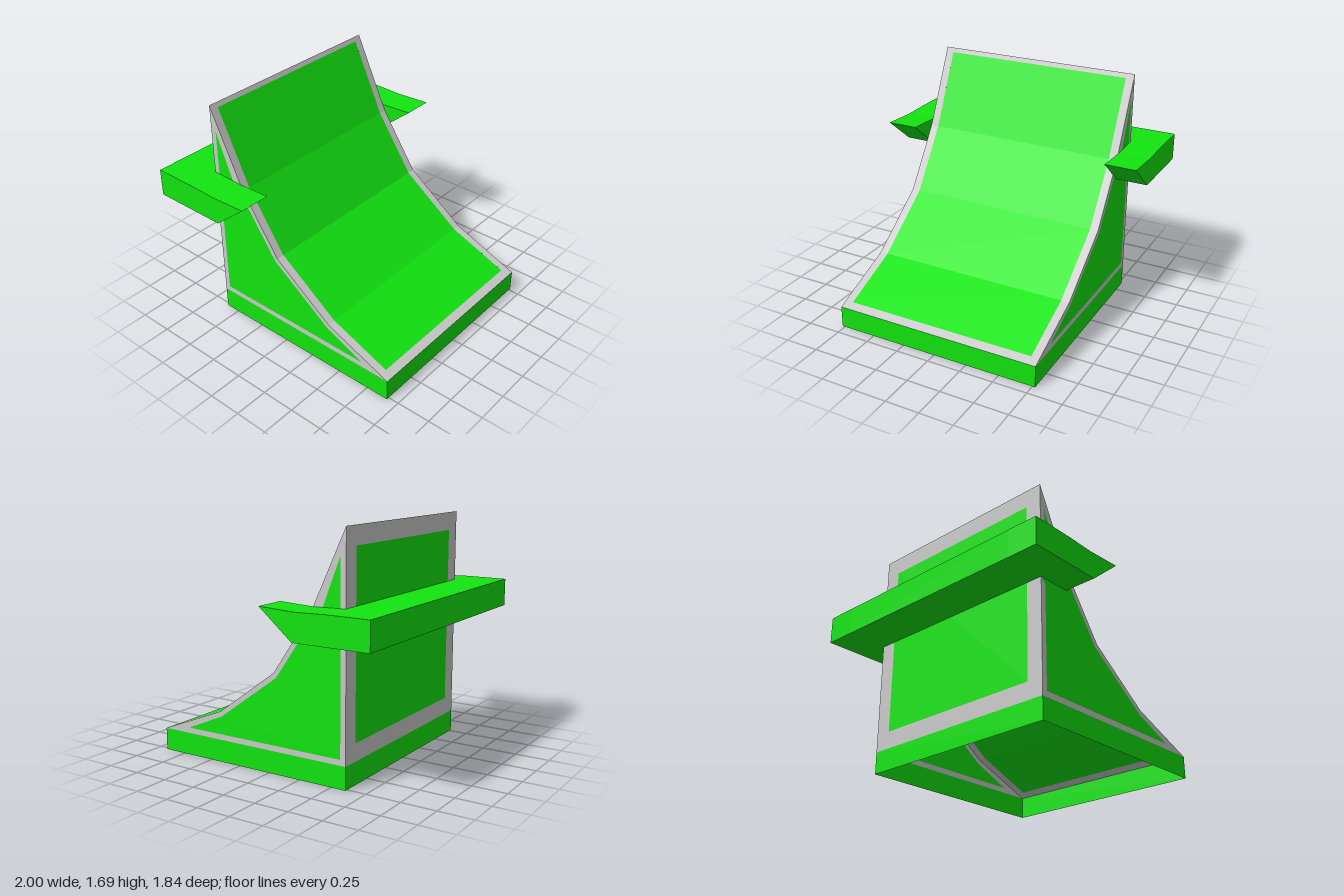
import * as THREE from 'three';

const HALF = 0.77;      // half width of the ramp
const BACK = -0.61;     // z of the back wall
const FRONT = 0.92;     // z of the front lip
const SKIRT = 0.16;     // height of the base skirt

const trim = new THREE.MeshStandardMaterial({ color: 0xcccccc, flatShading: true, side: THREE.DoubleSide });
const green = new THREE.MeshStandardMaterial({ color: 0x12e610, flatShading: true, side: THREE.DoubleSide });

// Ramp curve as [z, y], from the front lip to the top
const CURVE = [[FRONT, SKIRT], [0.41, 0.365], [-0.05, 0.7], [-0.345, 1.13], [BACK, 1.69]];

function add(parent, name, geometry, material) {
  const mesh = new THREE.Mesh(geometry, material);
  mesh.name = name;
  parent.add(mesh);
  return mesh;
}

// Strip that sweeps a [z, y] path between two x positions
function strip(path, x0, x1) {
  const pos = [], index = [];
  path.forEach(([z, y], i) => {
    pos.push(x0, y, z, x1, y, z);
    if (i) {
      const a = 2 * i - 2;
      index.push(a, a + 1, a + 3, a, a + 3, a + 2);
    }
  });
  const g = new THREE.BufferGeometry();
  g.setAttribute('position', new THREE.Float32BufferAttribute(pos, 3));
  g.setIndex(index);
  g.computeVertexNormals();
  return g;
}

// Shape from [z, y] points; rotating by +90 degrees about y turns -x into z
const toPoints = (pts) => pts.map(([z, y]) => new THREE.Vector2(-z, y));
const sideShape = (pts) => new THREE.Shape(toPoints(pts));

export function createModel() {
  const model = new THREE.Group();
  model.name = 'ramp';

  // Curved riding surface with a narrow trim around it
  const lip = [0.86, 0.184], crest = [-0.595, 1.658];
  const inner = [lip, ...CURVE.slice(1, -1), crest];
  add(model, 'rampSurface', strip(inner, -0.71, 0.71), green);
  add(model, 'rampLipTrim', strip([CURVE[0], lip], -0.71, 0.71), trim);
  add(model, 'rampTopTrim', strip([crest, CURVE[4]], -0.71, 0.71), trim);
  for (const s of [-1, 1]) {
    add(model, 'rampEdgeTrim', strip(CURVE, Math.min(s * 0.71, s * HALF), Math.max(s * 0.71, s * HALF)), trim);
  }

  // Side walls: trim frame around an inset panel
  const panel = [
    [0.7, 0.2], [0.4, 0.33], [-0.07, 0.67], [-0.32, 1.03], [-0.44, 1.18], [-0.57, 1.51],
    [-0.57, 1.18], [-0.605, 0.98], [-0.57, 0.94], [-0.57, 0.2],
  ];
  const frame = sideShape([...CURVE, [BACK, SKIRT]]);
  frame.holes.push(new THREE.Path(toPoints(panel)));
  for (const s of [-1, 1]) {
    const wall = new THREE.Group();
    wall.name = s > 0 ? 'leftWall' : 'rightWall';
    wall.position.x = s * HALF;
    wall.rotation.y = Math.PI / 2;
    add(wall, 'sideFrame', new THREE.ShapeGeometry(frame), trim);
    add(wall, 'sidePanel', new THREE.ShapeGeometry(sideShape(panel)), green);
    model.add(wall);
  }

  // Back wall: wide trim frame around an inset panel
  const rect = (w, y0, y1) => [[-w, y0], [w, y0], [w, y1], [-w, y1]].map((p) => new THREE.Vector2(...p));
  const backShape = new THREE.Shape(rect(HALF, SKIRT, 1.69));
  const backHole = rect(0.65, 0.285, 1.56);
  backShape.holes.push(new THREE.Path(backHole));
  add(model, 'backFrame', new THREE.ShapeGeometry(backShape), trim).position.z = BACK;
  add(model, 'backPanel', new THREE.ShapeGeometry(new THREE.Shape(backHole)), green).position.z = BACK;

  // Base skirt: four thin walls, open underneath
  for (const z of [FRONT, BACK]) {
    add(model, 'baseSkirtEnd', new THREE.PlaneGeometry(2 * HALF, SKIRT), green).position.set(0, SKIRT / 2, z);
  }
  for (const s of [-1, 1]) {
    const side = add(model, 'baseSkirtSide', new THREE.PlaneGeometry(FRONT - BACK, SKIRT), green);
    side.position.set(s * HALF, SKIRT / 2, (FRONT + BACK) / 2);
    side.rotation.y = Math.PI / 2;
  }

  // Wrap-around rail: a bar behind the ramp with a pointed arm on each side
  const depth = BACK + 0.92;
  add(model, 'railBar', new THREE.BoxGeometry(2 * HALF, 0.2, depth), green).position.set(0, 1.08, BACK - depth / 2);
  const arm = sideShape([[-0.92, 0.98], [-0.36, 0.98], [-0.11, 1.185], [-0.38, 1.173], [BACK, 1.18], [-0.92, 1.18]]);
  const armGeometry = new THREE.ExtrudeGeometry(arm, { depth: 1 - HALF, bevelEnabled: false });
  armGeometry.rotateY(Math.PI / 2);
  for (const x of [-1, HALF]) add(model, 'railArm', armGeometry, green).position.x = x;

  return model;
}
